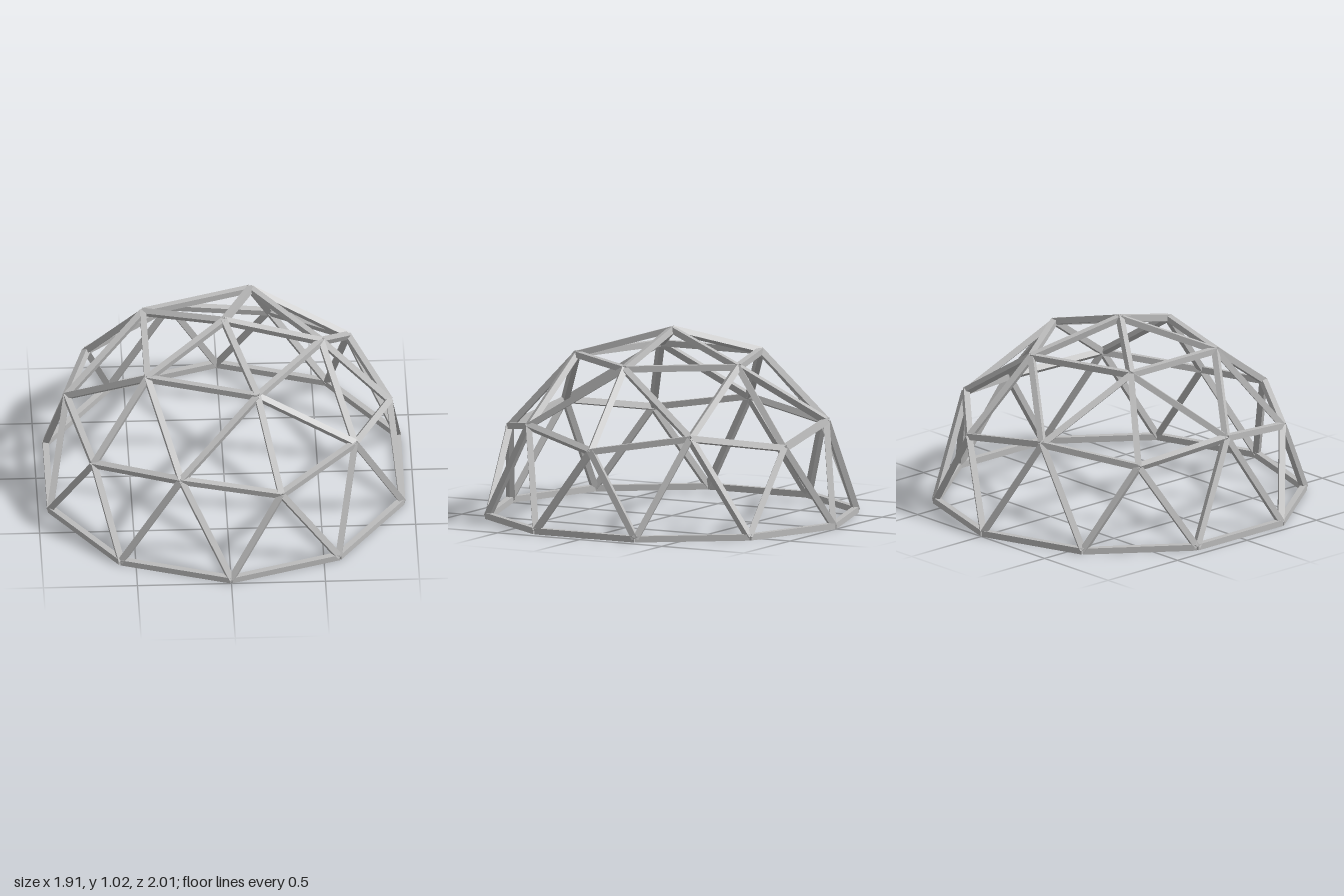
import * as THREE from 'three';

const RADIUS = 0.984;   // node sphere
const BAR = 0.033;      // square bar thickness

export function createModel() {
  const dome = new THREE.Group();
  dome.name = 'geodesicDome';
  const steel = new THREE.MeshStandardMaterial({ color: 0xbcbcbc });
  steel.name = 'lightGrey';

  // Node on the sphere at a given azimuth (degrees) and relative height
  const node = (deg, h) => {
    const a = THREE.MathUtils.degToRad(deg);
    const r = Math.sqrt(1 - h * h);
    return new THREE.Vector3(r * Math.cos(a), h, r * Math.sin(a)).multiplyScalar(RADIUS);
  };
  const zAxis = new THREE.Vector3(0, 0, 1);

  // Square bar between two nodes
  const strut = (name, a, b) => {
    const dir = b.clone().sub(a);
    const mesh = new THREE.Mesh(new THREE.BoxGeometry(BAR, BAR, dir.length()), steel);
    mesh.name = name;
    mesh.position.copy(a).add(b).multiplyScalar(0.5);
    mesh.position.y += BAR / 2;
    mesh.quaternion.setFromUnitVectors(zAxis, dir.normalize());
    dome.add(mesh);
  };

  const apex = node(0, 1);
  const upper = (i) => node(72 * i, 0.8507);       // ring round the apex
  const corner = (i) => node(72 * i, 0.4472);      // five-way nodes
  const middle = (i) => node(72 * i + 36, 0.5257); // six-way nodes between them
  const base = (k) => node(36 * k + 18, 0);        // ground ring

  for (let i = 0; i < 5; i++) {
    strut('apexStrut', apex, upper(i));
    strut('upperRingStrut', upper(i), upper(i + 1));
    strut('upperToCornerStrut', upper(i), corner(i));
    strut('upperToMiddleStrut', upper(i), middle(i));
    strut('upperToMiddleStrut', upper(i + 1), middle(i));
    strut('middleRingStrut', middle(i), corner(i));
    strut('middleRingStrut', middle(i), corner(i + 1));
    for (const s of [-1, 0]) {
      strut('cornerLegStrut', corner(i), base(2 * i + s));
      strut('middleLegStrut', middle(i), base(2 * i + 1 + s));
    }
  }
  for (let k = 0; k < 10; k++) strut('baseRingStrut', base(k), base(k + 1));

  return dome;
}
